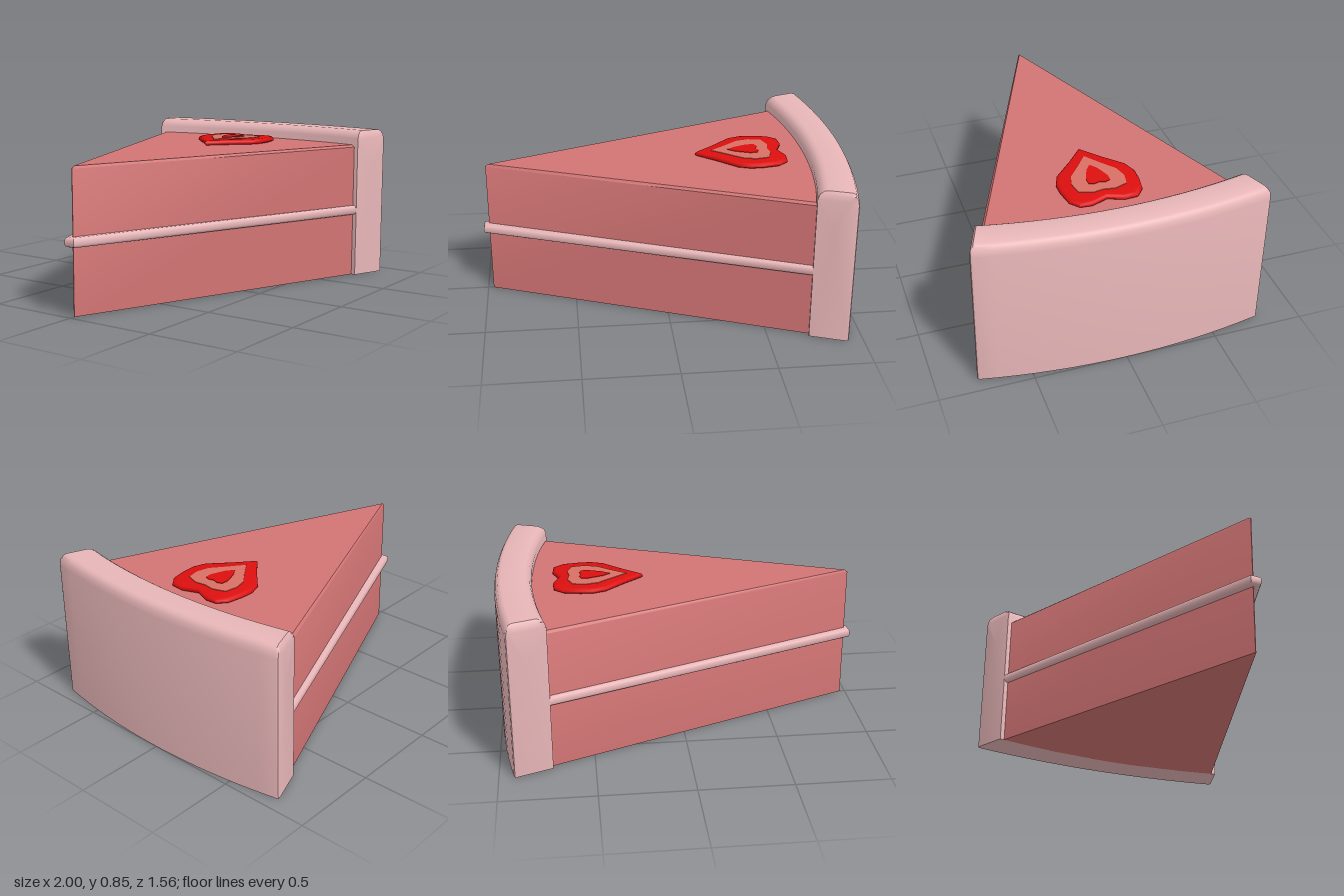
import * as THREE from 'three';
import { toCreasedNormals } from 'three/addons/utils/BufferGeometryUtils.js';

// Skin a stack of closed rings (counter-clockwise seen from the last ring) and cap both ends
function loft(rings, crease = 0.6) {
  const n = rings[0].length, pos = rings.flat().flat(), idx = [];
  for (let i = 0; i < rings.length - 1; i++)
    for (let j = 0; j < n; j++) {
      const k = (j + 1) % n, a = i * n + j, b = i * n + k, c = b + n, d = a + n;
      idx.push(a, b, c, a, c, d);
    }
  const cap = (i, flip) => {
    const centre = [0, 1, 2].map(c => rings[i].reduce((s, p) => s + p[c], 0) / n);
    const m = pos.length / 3;
    pos.push(...centre);
    for (let j = 0; j < n; j++) {
      const a = i * n + j, b = i * n + (j + 1) % n;
      idx.push(m, flip ? b : a, flip ? a : b);
    }
  };
  cap(0, true);
  cap(rings.length - 1, false);
  const g = new THREE.BufferGeometry();
  g.setAttribute('position', new THREE.Float32BufferAttribute(pos, 3));
  g.setIndex(idx);
  return toCreasedNormals(g, crease);
}

const STEPS = 16;
const sag = t => 0.08 * t * t; // bow of the outer arc

// Horizontal slice outline at height y: blunt tip, straight sides, curved back
function wedgeRing(y, tipX, tipHalf, half, inset) {
  const ring = [[tipX + inset, y, -Math.max(tipHalf - inset * 0.5, 0)],
    [tipX + inset, y, Math.max(tipHalf - inset * 0.5, 0)]];
  for (let i = 0; i <= STEPS; i++) {
    const t = 1 - 2 * i / STEPS;
    ring.push([0.805 - sag(t), y, t * (half - inset)]);
  }
  return ring;
}

// Mirrored heart outline, given as [x, z] from the tip to the notch
function heartRing(half, y, scale = 1) {
  const other = half.slice(1, -1).reverse().map(([x, z]) => [x, -z]);
  return [...half, ...other].map(([x, z]) => [0.48 + (x - 0.48) * scale, y, z * scale]);
}

export function createModel() {
  const mat = (name, color) => Object.assign(new THREE.MeshStandardMaterial({ color }), { name });
  const cakePink = mat('cake pink', 0xd27474);
  const creamPink = mat('cream pink', 0xe8b6b8);
  const berryRed = mat('berry red', 0xdc0f0f);
  const fleshPink = mat('berry flesh', 0xd87064);

  const group = new THREE.Group();
  group.name = 'cakeSlice';
  const add = (name, geometry, material) => {
    const mesh = new THREE.Mesh(geometry, material);
    mesh.name = name;
    group.add(mesh);
  };

  // Sponge wedge with a small bevel round the top
  add('sponge', loft([[0, 0], [0.755, 0], [0.768, 0.015]]
    .map(([y, inset]) => wedgeRing(y, -0.97, 0.002, 0.685, inset))), cakePink);

  // Cream filling bulging out of the sides
  add('creamFilling', loft([[0.36, 0.016], [0.365, 0.006], [0.375, 0], [0.397, 0], [0.407, 0.006], [0.412, 0.016]]
    .map(([y, inset]) => wedgeRing(y, -1, 0.03, 0.71, inset)), 0.8), creamPink);

  // Frosted back: a rounded section swept along the arc, drawn in at both ends
  const section = [[0, 0], [1, 0], [1, 0.79], [0.97, 0.82], [0.91, 0.842], [0.82, 0.85],
    [0.26, 0.85], [0.15, 0.845], [0.05, 0.83], [0, 0.805]];
  const frostRing = (t, top, reach) => section.map(([s, y]) => {
    const u = s * reach;
    return [0.8 + 0.2 * u - sag(t), Math.min(y, top), t * (0.71 + 0.075 * u)];
  });
  const frostRings = [frostRing(-1, 0.803, 0.94), frostRing(-0.993, 0.833, 0.98)];
  for (let i = 0; i <= STEPS; i++) frostRings.push(frostRing(0.978 * (2 * i / STEPS - 1), 0.85, 1));
  frostRings.push(frostRing(0.993, 0.833, 0.98), frostRing(1, 0.803, 0.94));
  add('frostedBack', loft(frostRings, 0.7), creamPink);

  // Strawberry slice: skin, pale flesh and red core
  const skin = [[0.19, 0], [0.29, 0.085], [0.4, 0.19], [0.47, 0.215], [0.54, 0.213],
    [0.63, 0.197], [0.68, 0.155], [0.685, 0.09], [0.65, 0]];
  const flesh = [[0.28, 0], [0.36, 0.06], [0.44, 0.125], [0.51, 0.143], [0.58, 0.13], [0.605, 0.06], [0.595, 0]];
  const core = [[0.37, 0], [0.41, 0.03], [0.49, 0.06], [0.53, 0.058], [0.54, 0.03], [0.53, 0]];
  add('strawberrySkin', loft([[0.765, 0.94], [0.775, 1], [0.786, 1], [0.793, 0.97], [0.796, 0.9]]
    .map(([y, s]) => heartRing(skin, y, s)), 0.9), berryRed);
  add('strawberryFlesh', loft([heartRing(flesh, 0.793), heartRing(flesh, 0.799)]), fleshPink);
  add('strawberryCore', loft([heartRing(core, 0.796), heartRing(core, 0.802)]), berryRed);

  return group;
}
